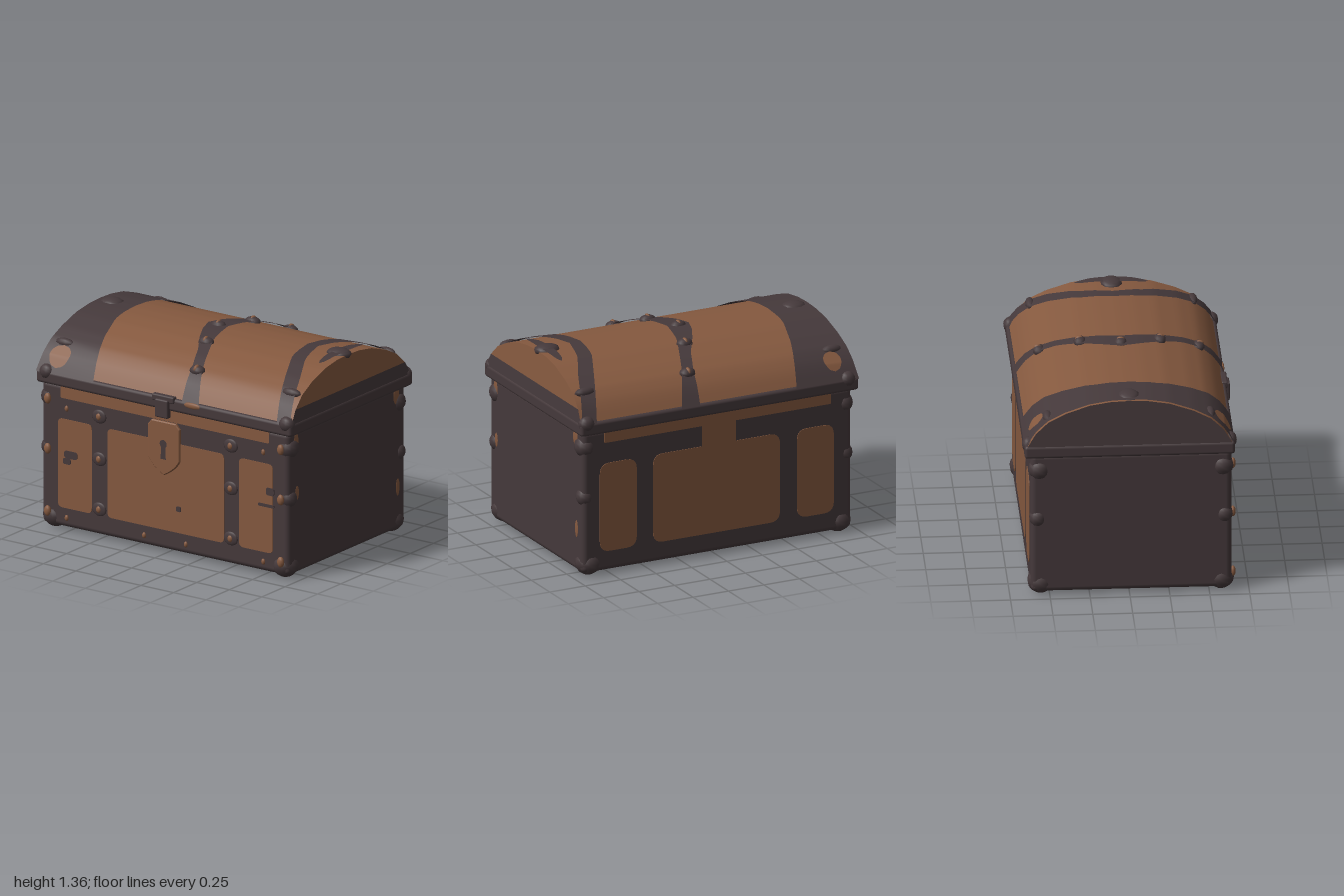
import * as THREE from 'three';
import { RoundedBoxGeometry } from 'three/addons/geometries/RoundedBoxGeometry.js';

const wood = new THREE.MeshStandardMaterial({ color: 0x85593f, side: THREE.DoubleSide });
wood.name = 'warm wood';
const iron = new THREE.MeshStandardMaterial({ color: 0x45393b, side: THREE.DoubleSide });
iron.name = 'dark iron';

const FRONT = 0.64, BACK = -0.62;

// Lid cross-section, from the ridge (z = 0) down to the rim
const half = [[0, 1.325], [0.12, 1.32], [0.25, 1.3], [0.4, 1.25], [0.51, 1.195], [0.59, 1.12], [0.65, 1.02]];

// Piecewise linear lookup in [key, value] pairs
function look(table, k) {
  if (k <= table[0][0]) return table[0][1];
  for (let i = 1; i < table.length; i++) {
    const [a, va] = table[i - 1], [b, vb] = table[i];
    if (k <= b) return va + (vb - va) * (k - a) / (b - a);
  }
  return table[table.length - 1][1];
}
const lidY = z => look(half, Math.abs(z));
const endX = y => 0.975 - 0.025 * (y - 1.02) / 0.3;

function add(parent, name, geo, mat, x = 0, y = 0, z = 0) {
  const m = new THREE.Mesh(geo, mat);
  m.name = name;
  m.position.set(x, y, z);
  parent.add(m);
  return m;
}

// Strip of lid skin between two x limits, lifted off the dome by a small amount
function lidStrip(parent, name, mat, left, right, z0 = 0.65, z1 = -0.65, lift = 0, rows = 36) {
  const pos = [], idx = [];
  for (let i = 0; i <= rows; i++) {
    const z = z0 + (z1 - z0) * i / rows, y = lidY(z);
    const n = new THREE.Vector2(z * 0.9, 0.55).normalize().multiplyScalar(lift);
    for (const x of [left(z, y), right(z, y)]) pos.push(x, y + n.y, z + n.x);
    if (i) {
      const a = 2 * i - 2;
      idx.push(a, a + 1, a + 2, a + 1, a + 3, a + 2);
    }
  }
  const g = new THREE.BufferGeometry();
  g.setAttribute('position', new THREE.Float32BufferAttribute(pos, 3));
  g.setIndex(idx);
  g.computeVertexNormals();
  add(parent, name, g, mat);
}

// Oval patch wrapped over the lid
function lidPatch(parent, name, mat, cx, cz, rx, rz) {
  const w = z => rx * Math.sqrt(Math.max(0, 1 - ((z - cz) / rz) ** 2));
  lidStrip(parent, name, mat, z => cx - w(z), z => cx + w(z), cz + rz, cz - rz, 0.018, 14);
}

function roundedRect(x0, x1, y0, y1, r) {
  const s = new THREE.Shape();
  s.moveTo(x0 + r, y0);
  s.lineTo(x1 - r, y0); s.quadraticCurveTo(x1, y0, x1, y0 + r);
  s.lineTo(x1, y1 - r); s.quadraticCurveTo(x1, y1, x1 - r, y1);
  s.lineTo(x0 + r, y1); s.quadraticCurveTo(x0, y1, x0, y1 - r);
  s.lineTo(x0, y0 + r); s.quadraticCurveTo(x0, y0, x0 + r, y0);
  return s;
}

// Thin plate on the front (side 1) or back (side -1)
function plate(parent, name, mat, side, x0, x1, y0, y1, r = 0.05, out = 0) {
  const s = side > 0 ? roundedRect(x0, x1, y0, y1, r) : roundedRect(-x1, -x0, y0, y1, r);
  const g = new THREE.ExtrudeGeometry(s, { depth: 0.009, bevelEnabled: false, curveSegments: 5 });
  const m = add(parent, name, g, mat, 0, 0, (side > 0 ? FRONT : BACK) + side * (out - 0.005));
  if (side < 0) m.rotation.y = Math.PI;
}

// Flattened lump used for rivets and corner guards
function lump(parent, name, mat, x, y, z, rx, ry, rz) {
  add(parent, name, new THREE.SphereGeometry(1, 10, 8), mat, x, y, z).scale.set(rx, ry, rz);
}

function buildBody() {
  const g = new THREE.Group();
  g.name = 'chestBody';
  add(g, 'ironBody', new RoundedBoxGeometry(1.9, 0.94, FRONT - BACK, 3, 0.035), iron, 0, 0.5, (FRONT + BACK) / 2);

  // Wood panels framed by iron
  for (const side of [1, -1]) {
    const r = side > 0 ? 0.035 : 0.07;
    plate(g, 'sidePanel', wood, side, -0.82, -0.56, 0.16, 0.745, r);
    plate(g, 'centrePanel', wood, side, -0.44, 0.455, 0.16, 0.745, r);
    plate(g, 'sidePanel', wood, side, 0.57, 0.83, 0.16, 0.745, r);
    plate(g, 'topPlank', wood, side, -0.8, 0.8, 0.88, 0.965, 0.01);
  }
  plate(g, 'backBarGap', wood, -1, -0.13, 0.11, 0.7, 0.92, 0.03);

  // Worn spots
  plate(g, 'wornSpot', iron, 1, -0.77, -0.67, 0.49, 0.54, 0.02, 0.003);
  plate(g, 'wornSpot', iron, 1, -0.78, -0.72, 0.45, 0.49, 0.015, 0.003);
  plate(g, 'wornSpot', iron, 1, 0.78, 0.84, 0.54, 0.59, 0.015, 0.003);
  plate(g, 'wornSpot', iron, 1, 0.72, 0.84, 0.46, 0.48, 0.008, 0.003);
  plate(g, 'wornSpot', iron, 1, 0.09, 0.125, 0.3, 0.335, 0.01, 0.003);
  for (const [z, y, rz, ry] of [[0.55, 0.56, 0.022, 0.05], [-0.535, 0.31, 0.022, 0.06], [0.56, 0.89, 0.03, 0.065], [-0.52, 0.91, 0.035, 0.055]])
    lump(g, 'sideSpot', wood, 0.948, y, z, 0.006, ry, rz);

  // Corner guards and front rivets
  for (const sx of [1, -1]) {
    for (const z of [0.575, -0.555]) {
      lump(g, 'footGuard', iron, sx * 0.88, 0.085, z, 0.085, 0.08, 0.085);
      lump(g, 'edgeGuard', iron, sx * 0.915, 0.53, z + Math.sign(z) * 0.02, 0.055, 0.06, 0.055);
      lump(g, 'edgeGuard', iron, sx * 0.91, 0.86, z + Math.sign(z) * 0.01, 0.065, 0.07, 0.07);
    }
    for (const y of [0.12, 0.53, 0.86]) lump(g, 'cornerRivet', wood, sx * 0.895, y, 0.65, 0.025, 0.035, 0.018);
    for (const y of [0.2, 0.53, 0.81]) {
      lump(g, 'postRivet', iron, sx * 0.505, y, FRONT, 0.055, 0.045, 0.012);
      lump(g, 'postRivet', wood, sx * 0.505, y, FRONT + 0.005, 0.02, 0.024, 0.014);
    }
    lump(g, 'barRivet', wood, sx * 0.755, 0.095, FRONT, 0.014, 0.02, 0.012);
    lump(g, 'barRivet', wood, sx * 0.755, 0.815, FRONT, 0.014, 0.02, 0.012);
    lump(g, 'barRivet', wood, sx * 0.16, 0.095, FRONT, 0.014, 0.02, 0.012);
  }

  // Lock plate with keyhole
  const s = new THREE.Shape();
  s.moveTo(-0.09, 0.87); s.lineTo(-0.115, 0.84); s.lineTo(-0.115, 0.63);
  s.quadraticCurveTo(-0.08, 0.57, 0, 0.53);
  s.quadraticCurveTo(0.08, 0.57, 0.115, 0.63);
  s.lineTo(0.115, 0.84); s.lineTo(0.09, 0.87);
  add(g, 'lockPlate', new THREE.ExtrudeGeometry(s, { depth: 0.012, bevelSize: 0.006, bevelThickness: 0.006, bevelSegments: 1 }), wood, 0, 0, FRONT);
  const k = new THREE.Shape();
  k.absarc(0, 0.73, 0.027, -0.9, Math.PI + 0.9);
  k.lineTo(-0.02, 0.63); k.lineTo(0.02, 0.63);
  add(g, 'keyhole', new THREE.ShapeGeometry(k), iron, 0, 0, FRONT + 0.02);
  return g;
}

function buildLid() {
  const g = new THREE.Group();
  g.name = 'chestLid';
  add(g, 'lidRim', new RoundedBoxGeometry(1.96, 0.085, 1.32, 2, 0.02), iron, 0, 0.997, 0);
  lidStrip(g, 'lidWood', wood, (z, y) => -endX(y), (z, y) => endX(y));

  // Curved iron bands: x limits by distance from the ridge
  const at = t => z => look(t, Math.abs(z));
  const leftEdge = at([[0, -0.68], [0.2, -0.675], [0.42, -0.62], [0.65, -0.54]]);
  const midL = at([[0, -0.12], [0.1, -0.09], [0.22, -0.03], [0.35, 0.05], [0.5, 0.11], [0.65, 0.14]]);
  const midR = at([[0, 0.03], [0.2, 0.07], [0.35, 0.13], [0.5, 0.19], [0.65, 0.27]]);
  const rightL = at([[0, 0.64], [0.2, 0.67], [0.4, 0.76], [0.65, 0.87]]);
  const rightR = at([[0, 0.72], [0.2, 0.77], [0.4, 0.87], [0.65, 0.97]]);
  lidStrip(g, 'leftBand', iron, (z, y) => -endX(y) - 0.004, leftEdge, 0.65, -0.65, 0.012);
  lidStrip(g, 'middleBand', iron, midL, midR, 0.65, -0.65, 0.012);
  lidStrip(g, 'rightBand', iron, rightL, rightR, 0.65, -0.65, 0.012);
  lidPatch(g, 'wornPatch', wood, -0.84, 0.58, 0.075, 0.05);
  lidPatch(g, 'wornPatch', wood, -0.83, -0.57, 0.06, 0.045);
  lidPatch(g, 'endMark', iron, 0.895, 0.0, 0.035, 0.23);

  // Lid ends: the left one is iron, the right one wood above an iron strip
  const low = half.filter(p => p[1] <= 1.12), high = half.filter(p => p[1] >= 1.12);
  const end = (name, pts, mat, side) => {
    const outline = [...pts.map(([z, y]) => new THREE.Vector2(z, y)), ...pts.map(([z, y]) => new THREE.Vector2(-z, y)).reverse()];
    const geo = new THREE.ShapeGeometry(new THREE.Shape(outline));
    geo.rotateY(side * Math.PI / 2);
    const p = geo.attributes.position;
    for (let i = 0; i < p.count; i++) p.setX(i, side * endX(p.getY(i)));
    geo.computeVertexNormals();
    add(g, name, geo, mat);
  };
  end('leftEnd', half, iron, -1);
  end('rightEndStrip', low, iron, 1);
  end('rightEndWood', high, wood, 1);

  // Band rivets and rim corner guards
  for (const z of [0, 0.25, -0.25, 0.5, -0.5]) {
    const y = lidY(z), mid = (midL(z) + midR(z)) / 2;
    lump(g, 'bandRivet', iron, mid, y, z, 0.055, 0.035, 0.04);
    lump(g, 'bandRivetHead', wood, mid, y + 0.012, z * 1.015, 0.018, 0.028, 0.03);
  }
  for (const x of [-0.86, 0.88]) {
    lump(g, 'ridgeGuard', iron, x, 1.32, 0, 0.085, 0.036, 0.07);
    for (const z of [0.51, -0.51]) lump(g, 'shoulderGuard', iron, x, lidY(z), z, 0.07, 0.03, 0.03);
    for (const z of [0.63, -0.63]) lump(g, 'rimGuard', iron, x + Math.sign(x) * 0.05, 1.03, z, 0.055, 0.05, 0.045);
  }
  lump(g, 'rimWorn', wood, 0.22, 1.02, 0.655, 0.07, 0.02, 0.012);

  // Hasp hanging over the front
  add(g, 'hasp', new RoundedBoxGeometry(0.1, 0.12, 0.04, 2, 0.01), iron, 0, 0.968, 0.665);
  add(g, 'haspHinge', new RoundedBoxGeometry(0.17, 0.045, 0.04, 2, 0.01), iron, 0, 1.03, 0.65);
  return g;
}

export function createModel() {
  const chest = new THREE.Group();
  chest.name = 'treasureChest';
  chest.add(buildBody(), buildLid());
  return chest;
}
